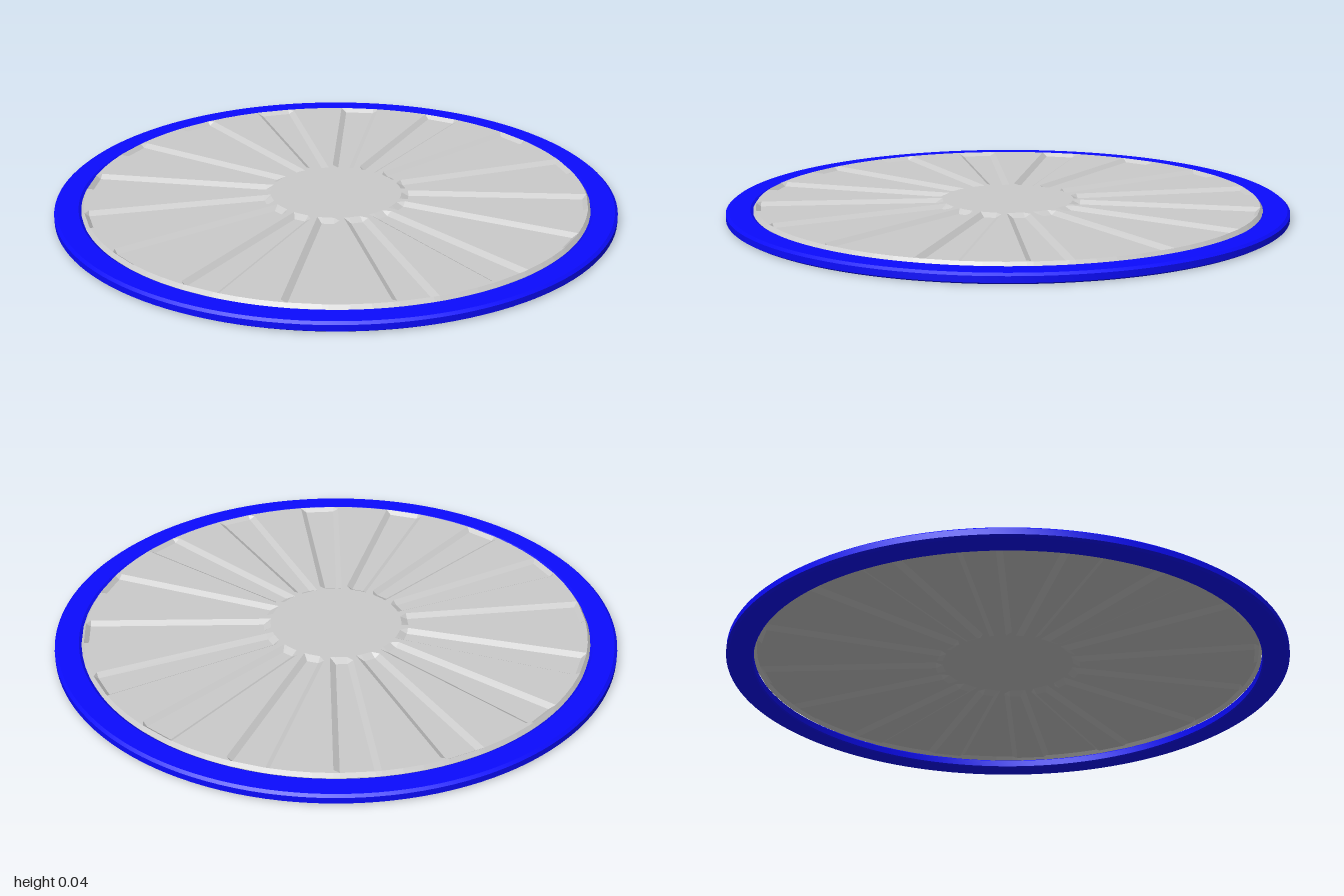
import * as THREE from 'three';
import { toCreasedNormals } from 'three/addons/utils/BufferGeometryUtils.js';

const GROOVES = 16;
const TOP = 0.044, LOW = 0.031;

// Ring with bevelled edges
function makeRing() {
  const profile = [
    [0.91, 0], [0.99, 0], [1, 0.006], [1, 0.027], [0.99, 0.035],
    [0.915, 0.035], [0.905, 0.028], [0.905, 0.004], [0.91, 0],
  ].map(([r, y]) => new THREE.Vector2(r, y));
  const geometry = toCreasedNormals(new THREE.LatheGeometry(profile, 128), 0.4);
  return new THREE.Mesh(geometry, new THREE.MeshStandardMaterial({ color: 0x0b0bff }));
}

// Thin plate pressed with radial grooves that widen outwards
function makePlate() {
  // radius, groove floor height, panel height
  const rows = [
    [0.235, TOP, TOP], [0.26, LOW, TOP], [0.88, LOW, TOP],
    [0.896, TOP, TOP], [0.906, 0.03, 0.03],
  ];
  const step = (Math.PI * 2) / GROOVES;
  const perGroove = 6;
  const columns = GROOVES * perGroove;
  const positions = [0, TOP, 0];
  for (const [r, floor, panel] of rows) {
    const half = 0.03 + (r - 0.25) * 0.055;
    const inner = Math.asin((half - 0.01) / r);
    const outer = Math.asin((half + 0.01) / r);
    const gap = step - 2 * outer;
    const offsets = [-outer, -inner, inner, outer, outer + gap / 3, outer + (gap * 2) / 3];
    for (let g = 0; g < GROOVES; g++) {
      offsets.forEach((offset, i) => {
        const a = g * step + offset;
        positions.push(r * Math.cos(a), i === 1 || i === 2 ? floor : panel, -r * Math.sin(a));
      });
    }
  }
  const index = [];
  for (let c = 0; c < columns; c++) {
    const n = (c + 1) % columns;
    index.push(0, 1 + c, 1 + n);
    for (let k = 0; k < rows.length - 1; k++) {
      const a = 1 + k * columns + c, b = 1 + k * columns + n;
      index.push(a, a + columns, b + columns, a, b + columns, b);
    }
  }
  const indexed = new THREE.BufferGeometry();
  indexed.setAttribute('position', new THREE.Float32BufferAttribute(positions, 3));
  indexed.setIndex(index);
  const geometry = indexed.toNonIndexed();
  geometry.computeVertexNormals();
  return new THREE.Mesh(geometry, new THREE.MeshStandardMaterial({
    color: 0xcccccc, flatShading: true, side: THREE.DoubleSide,
  }));
}

export function createModel() {
  const group = new THREE.Group();
  group.name = 'groovedDisc';
  const ring = makeRing();
  ring.name = 'outerRing';
  const plate = makePlate();
  plate.name = 'groovedPlate';
  group.add(ring, plate);
  return group;
}
